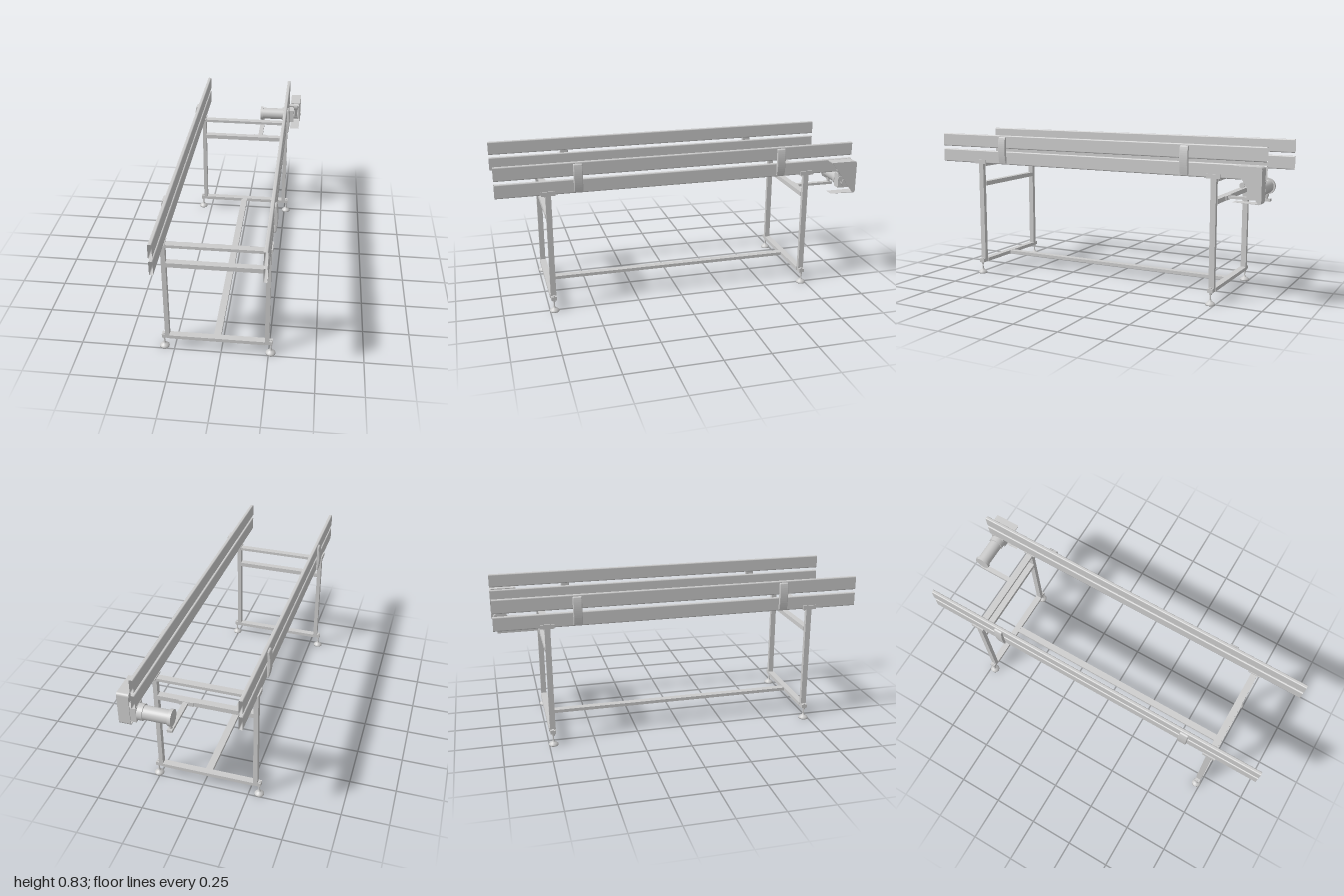
import * as THREE from 'three';

const CX = -0.0225;      // centre line of the frame
const HALF = 0.2755;     // half width of the frame
const LEG_Z = 0.727;

const grey = new THREE.MeshStandardMaterial({ color: 0xcccccc });
const greyOpen = new THREE.MeshStandardMaterial({ color: 0xcccccc, side: THREE.DoubleSide });

function add(parent, name, geometry, material = grey) {
  const mesh = new THREE.Mesh(geometry, material);
  mesh.name = name;
  parent.add(mesh);
  return mesh;
}

// Box given by its limits on each axis
function box(parent, name, x0, x1, y0, y1, z0, z1) {
  const g = new THREE.BoxGeometry(Math.abs(x1 - x0), y1 - y0, Math.abs(z1 - z0));
  g.translate((x0 + x1) / 2, (y0 + y1) / 2, (z0 + z1) / 2);
  return add(parent, name, g);
}

// Cylinder along x
function drum(parent, name, x0, x1, y, z, r, sides = 32) {
  const g = new THREE.CylinderGeometry(r, r, x1 - x0, sides).rotateZ(Math.PI / 2);
  g.translate((x0 + x1) / 2, y, z);
  return add(parent, name, g);
}

function roundedRect(x0, x1, y0, y1, r) {
  const s = new THREE.Shape();
  s.absarc(x1 - r, y0 + r, r, -Math.PI / 2, 0);
  s.absarc(x1 - r, y1 - r, r, 0, Math.PI / 2);
  s.absarc(x0 + r, y1 - r, r, Math.PI / 2, Math.PI);
  s.absarc(x0 + r, y0 + r, r, Math.PI, Math.PI * 1.5);
  return s;
}

// Hollow section with open ends, running along z
function openTube(shape, z0, z1) {
  const pts = shape.getPoints(5);
  const pos = [];
  pts.forEach((a, i) => {
    const b = pts[(i + 1) % pts.length];
    if (a.distanceTo(b) < 1e-6) return;
    pos.push(a.x, a.y, z0, b.x, b.y, z1, a.x, a.y, z1);
    pos.push(a.x, a.y, z0, b.x, b.y, z0, b.x, b.y, z1);
  });
  const g = new THREE.BufferGeometry();
  g.setAttribute('position', new THREE.Float32BufferAttribute(pos, 3));
  g.computeVertexNormals();
  return g;
}

// Curved support that grips the outside of the rails
function clampGeometry(side) {
  const x = (d) => CX + side * (HALF + d);
  const s = new THREE.Shape();
  s.moveTo(x(0), 0.672);
  s.lineTo(x(0.01), 0.672);
  s.quadraticCurveTo(x(0.026), 0.755, x(0.011), 0.818);
  s.quadraticCurveTo(x(0.009), 0.824, x(0), 0.824);
  s.closePath();
  const g = new THREE.ExtrudeGeometry(s, {
    depth: 0.04, bevelThickness: 0.004, bevelSize: 0.003, bevelOffset: -0.003, bevelSegments: 2, curveSegments: 12,
  });
  return g.translate(0, 0, -0.02);
}

// Levelling foot with stem and nuts
function foot() {
  const profile = [[0, 0], [0.026, 0], [0.026, 0.006], [0.02, 0.013], [0.011, 0.019], [0.007, 0.022],
    [0.007, 0.027], [0.004, 0.029], [0.004, 0.066], [0, 0.066]].map(([r, y]) => new THREE.Vector2(r, y));
  const g = new THREE.Group();
  g.name = 'foot';
  add(g, 'footPad', new THREE.LatheGeometry(profile, 28));
  add(g, 'lockNut', new THREE.CylinderGeometry(0.008, 0.008, 0.012, 6)).position.y = 0.06;
  add(g, 'stemTop', new THREE.CylinderGeometry(0.007, 0.007, 0.006, 16)).position.y = 0.088;
  return g;
}

function driveUnit() {
  const g = new THREE.Group();
  g.name = 'driveUnit';
  const y = 0.615, z = -0.953;

  // Motor and gearbox
  drum(g, 'motorEndCap', 0.062, 0.078, y, z, 0.043);
  drum(g, 'motorBody', 0.078, 0.21, y, z, 0.036);
  drum(g, 'motorFlange', 0.207, 0.235, y, z, 0.042);
  box(g, 'gearbox', 0.235, 0.283, 0.577, 0.658, -0.993, -0.913);

  // Support arm bolted to the rear cross beam
  box(g, 'armFlange', 0.035, 0.115, 0.53, 0.553, -0.751, -0.745);
  box(g, 'supportArm', 0.063, 0.09, 0.537, 0.551, -0.975, -0.745);
  add(g, 'supportBolt', new THREE.CylinderGeometry(0.009, 0.009, 0.03, 16)).position.set(0.077, 0.565, z);
  add(g, 'supportNut', new THREE.CylinderGeometry(0.013, 0.013, 0.01, 6)).position.set(0.077, 0.57, z);

  // Guard: bent strip round top, back and bottom, plus an outer plate
  const guard = new THREE.Group();
  guard.name = 'driveGuard';
  g.add(guard);
  const F = 0.852, B = 1.0, Y0 = 0.555, Y1 = 0.74, R = 0.014, T = 0.004;
  const strip = new THREE.Shape();
  strip.moveTo(F, Y0);
  strip.absarc(B - R, Y0 + R, R, -Math.PI / 2, 0);
  strip.absarc(B - R, Y1 - R, R, 0, Math.PI / 2);
  strip.lineTo(F, Y1);
  strip.lineTo(F, Y1 - T);
  strip.absarc(B - R, Y1 - R, R - T, Math.PI / 2, 0, true);
  strip.absarc(B - R, Y0 + R, R - T, 0, -Math.PI / 2, true);
  strip.lineTo(F, Y0 + T);
  const plate = new THREE.Shape();
  plate.moveTo(F, Y0);
  plate.absarc(B - R, Y0 + R, R, -Math.PI / 2, 0);
  plate.absarc(B - R, Y1 - R, R, 0, Math.PI / 2);
  plate.lineTo(F, Y1);
  const alongX = (shape, x0, x1) =>
    new THREE.ExtrudeGeometry(shape, { depth: x1 - x0, bevelEnabled: false, curveSegments: 8 })
      .rotateY(Math.PI / 2).translate(x0, 0, 0);
  add(guard, 'guardRim', alongX(strip, 0.264, 0.321));
  add(guard, 'guardPlate', alongX(plate, 0.321, 0.325));
  drum(guard, 'guardKnob', 0.325, 0.33, 0.647, -0.903, 0.014, 20);

  // Pulleys and belt inside the guard
  drum(g, 'motorPulley', 0.283, 0.308, y, z, 0.028);
  drum(g, 'drivePulley', 0.283, 0.308, 0.69, -0.925, 0.028);
  drum(g, 'driveShaft', 0.25, 0.315, 0.69, -0.925, 0.01, 16);
  const belt = box(g, 'belt', -0.008, 0.008, -0.04, 0.04, -0.027, 0.027);
  belt.position.set(0.296, (y + 0.69) / 2, (z - 0.925) / 2);
  belt.rotation.x = Math.atan2(0.028, 0.075);
  return g;
}

export function createModel() {
  const model = new THREE.Group();
  model.name = 'conveyorFrame';
  const inner = HALF - 0.023;

  for (const side of [-1, 1]) {
    const x = (d) => CX + side * d;

    // Lower and upper side rails
    for (const [name, y0, y1] of [['lowerRail', 0.664, 0.74], ['upperRail', 0.757, 0.832]]) {
      const [a, b] = [x(inner + 0.002), x(HALF - 0.001)].sort((p, q) => p - q);
      add(model, name, openTube(roundedRect(a, b, y0, y1, 0.006), -1, 1), greyOpen);
    }

    for (const end of [-1, 1]) {
      const z = end * LEG_Z;
      // Leg, its rail bracket and the foot plate
      box(model, 'leg', x(inner), x(HALF), 0.086, 0.662, z - 0.015, z + 0.015);
      box(model, 'bracketFlange', x(inner - 0.001), x(HALF), 0.66, 0.667, z - 0.037, z + 0.037);
      box(model, 'bracketPlate', x(HALF), x(HALF + 0.007), 0.661, 0.684, z - 0.037, z + 0.037);
      box(model, 'footPlate', x(inner), x(HALF + 0.018), 0.066, 0.087, z - 0.015, z + 0.015);
      const f = foot();
      f.position.set(x(HALF + 0.008), 0, z);
      model.add(f);

      add(model, 'railClamp', clampGeometry(side)).position.z = end * 0.567;
    }
  }

  // Cross beams of each end frame
  for (const end of [-1, 1]) {
    const z = end * LEG_Z;
    for (const [name, y0, y1] of [['bottomBeam', 0.066, 0.086], ['middleBeam', 0.528, 0.553], ['topBeam', 0.645, 0.661]]) {
      box(model, name, CX - inner, CX + inner, y0, y1, z - 0.018, z + 0.018);
    }
  }

  // Long tie between the end frames
  box(model, 'longTie', CX - 0.019, CX + 0.019, 0.067, 0.085, -LEG_Z + 0.018, LEG_Z - 0.018);

  model.add(driveUnit());
  return model;
}
